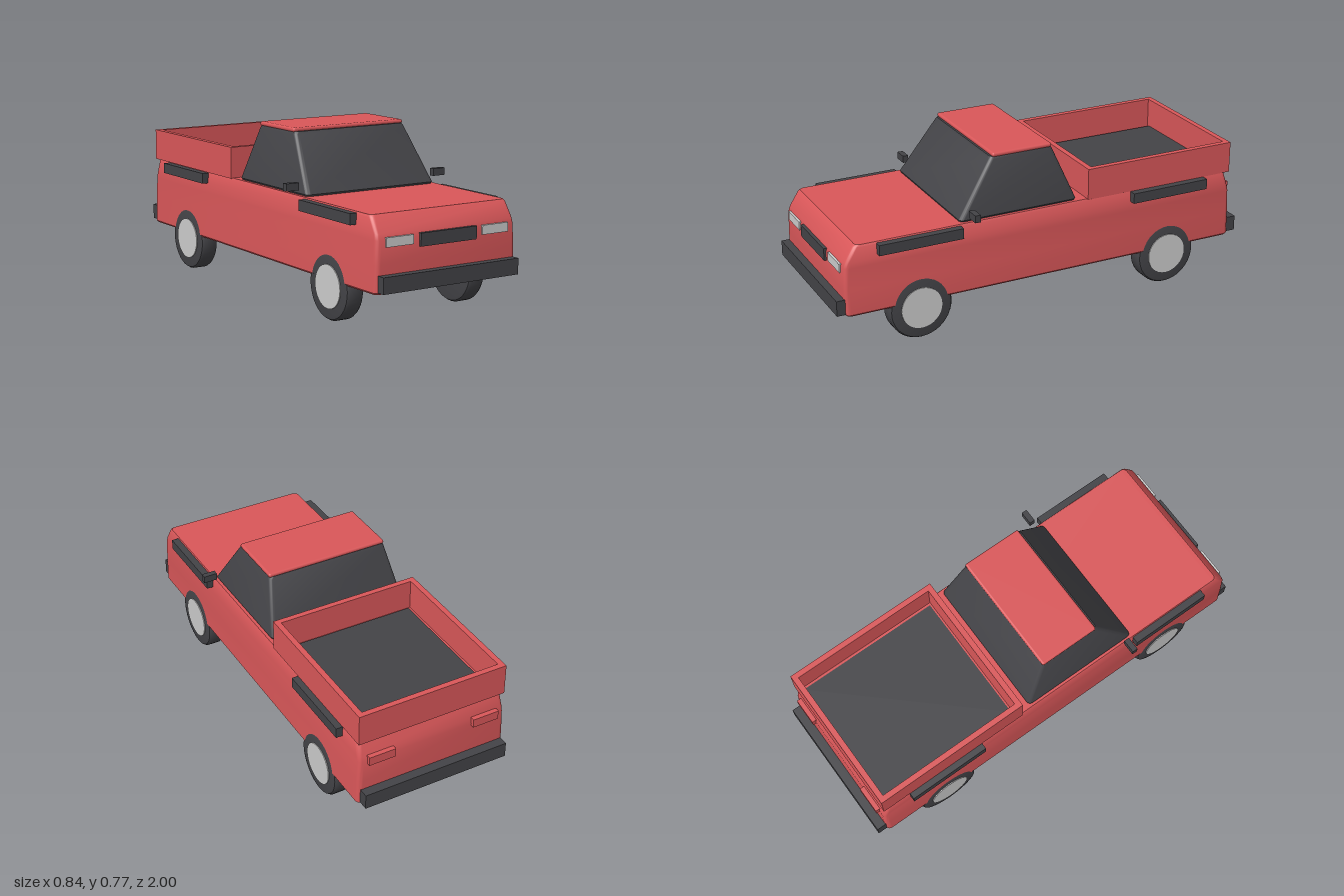
import * as THREE from 'three';
import { toCreasedNormals } from 'three/addons/utils/BufferGeometryUtils.js';
import { RoundedBoxGeometry } from 'three/addons/geometries/RoundedBoxGeometry.js';

function material(name, color) {
  const m = new THREE.MeshStandardMaterial({ color });
  m.name = name;
  return m;
}

// Closed loft through rounded rectangles, each [y, halfWidth, zFront, zRear, cornerRadius]
function loft(rings, crease = 0.6) {
  const steps = 5, n = 4 * (steps + 1), pos = [], index = [];
  for (const [y, w, zf, zr, r] of rings) {
    const corners = [[w - r, zf - r], [r - w, zf - r], [r - w, zr + r], [w - r, zr + r]];
    corners.forEach(([cx, cz], k) => {
      for (let s = 0; s <= steps; s++) {
        const a = (k + s / steps) * Math.PI / 2;
        pos.push(cx + r * Math.cos(a), y, cz + r * Math.sin(a));
      }
    });
  }
  const last = rings.length - 1;
  for (let j = 0; j < last; j++) {
    for (let i = 0; i < n; i++) {
      const a = j * n + i, b = j * n + (i + 1) % n;
      index.push(a, a + n, b, b, a + n, b + n);
    }
  }
  for (let i = 1; i < n - 1; i++) {
    index.push(0, i, i + 1, last * n, last * n + i + 1, last * n + i);
  }
  const g = new THREE.BufferGeometry();
  g.setAttribute('position', new THREE.Float32BufferAttribute(pos, 3));
  g.setIndex(index);
  return toCreasedNormals(g, crease);
}

export function createModel() {
  const truck = new THREE.Group();
  truck.name = 'pickupTruck';
  const red = material('redPaint', 0xd95759);
  const dark = material('darkTrim', 0x434347);
  const silver = material('silver', 0xcccccc);

  function add(name, geometry, mat, x = 0, y = 0, z = 0, parent = truck) {
    const mesh = new THREE.Mesh(geometry, mat);
    mesh.name = name;
    mesh.position.set(x, y, z);
    parent.add(mesh);
    return mesh;
  }
  // Box given by its limits on each axis
  const box = (name, mat, [x0, x1], [y0, y1], [z0, z1]) =>
    add(name, new THREE.BoxGeometry(x1 - x0, y1 - y0, z1 - z0), mat,
      (x0 + x1) / 2, (y0 + y1) / 2, (z0 + z1) / 2);
  // Pair of boxes mirrored across the centre
  const pair = (name, mat, [x0, x1], y, z) => {
    box(name + 'Left', mat, [x0, x1], y, z);
    box(name + 'Right', mat, [-x1, -x0], y, z);
  };

  // Lower body with sloping nose and tail
  add('body', loft([
    [0.178, 0.354, 0.955, -0.95, 0.02],
    [0.186, 0.36, 0.963, -0.957, 0.022],
    [0.3, 0.358, 0.964, -0.957, 0.022],
    [0.4, 0.355, 0.962, -0.955, 0.022],
    [0.425, 0.354, 0.954, -0.95, 0.022],
    [0.49, 0.35, 0.914, -0.93, 0.022],
    [0.498, 0.346, 0.904, -0.926, 0.02],
  ]), red);

  // Glazed cabin and roof panel
  add('cabin', loft([
    [0.496, 0.33, 0.415, -0.148, 0.02],
    [0.506, 0.336, 0.418, -0.152, 0.02],
    [0.745, 0.292, 0.256, -0.054, 0.02],
    [0.756, 0.286, 0.248, -0.047, 0.018],
  ]), dark);
  add('roof', new RoundedBoxGeometry(0.582, 0.02, 0.288, 3, 0.0095), red, 0, 0.762, 0.096);

  // Cargo bed
  pair('bedSide', red, [0.328, 0.354], [0.495, 0.64], [-0.948, -0.2]);
  box('bedFront', red, [-0.328, 0.328], [0.495, 0.64], [-0.226, -0.2]);
  box('tailgate', red, [-0.328, 0.328], [0.495, 0.64], [-0.948, -0.922]);
  box('bedFloor', dark, [-0.315, 0.315], [0.496, 0.504], [-0.922, -0.235]);

  // Bumpers, grille, lamps
  box('frontBumper', dark, [-0.347, 0.347], [0.188, 0.258], [0.95, 1]);
  box('rearBumper', dark, [-0.347, 0.347], [0.188, 0.258], [-1, -0.945]);
  box('grille', dark, [-0.143, 0.143], [0.357, 0.413], [0.945, 0.973]);
  pair('headlight', silver, [0.177, 0.312], [0.371, 0.411], [0.945, 0.969]);
  pair('tailLight', red, [0.19, 0.315], [0.387, 0.428], [-0.971, -0.94]);

  // Fender strips and mirrors
  pair('frontFenderStrip', dark, [0.34, 0.382], [0.444, 0.492], [0.422, 0.812]);
  pair('rearFenderStrip', dark, [0.34, 0.382], [0.444, 0.492], [-0.81, -0.422]);
  pair('mirror', dark, [0.357, 0.421], [0.525, 0.558], [0.361, 0.387]);

  // Wheels: rounded tyre with a flat hub on the outer side
  const tyreProfile = [[0, -0.042], [0.128, -0.042], [0.14, -0.039], [0.147, -0.028],
    [0.147, 0.028], [0.14, 0.039], [0.128, 0.042], [0, 0.042]]
    .map(([r, y]) => new THREE.Vector2(r, y));
  const tyre = toCreasedNormals(new THREE.LatheGeometry(tyreProfile, 40), 0.7);
  const hub = new THREE.CylinderGeometry(0.095, 0.095, 0.01, 32);
  for (const side of [1, -1]) {
    for (const end of [1, -1]) {
      const wheel = new THREE.Group();
      wheel.name = (end > 0 ? 'front' : 'rear') + 'Wheel' + (side > 0 ? 'Left' : 'Right');
      add('tyre', tyre, dark, 0, 0, 0, wheel);
      add('hub', hub, silver, 0, 0.041, 0, wheel);
      wheel.rotation.z = -side * Math.PI / 2;
      wheel.position.set(side * 0.318, 0.15, end * 0.617);
      truck.add(wheel);
    }
  }
  truck.position.y = -0.003;
  const model = new THREE.Group();
  model.name = 'model';
  model.add(truck);
  return model;
}
